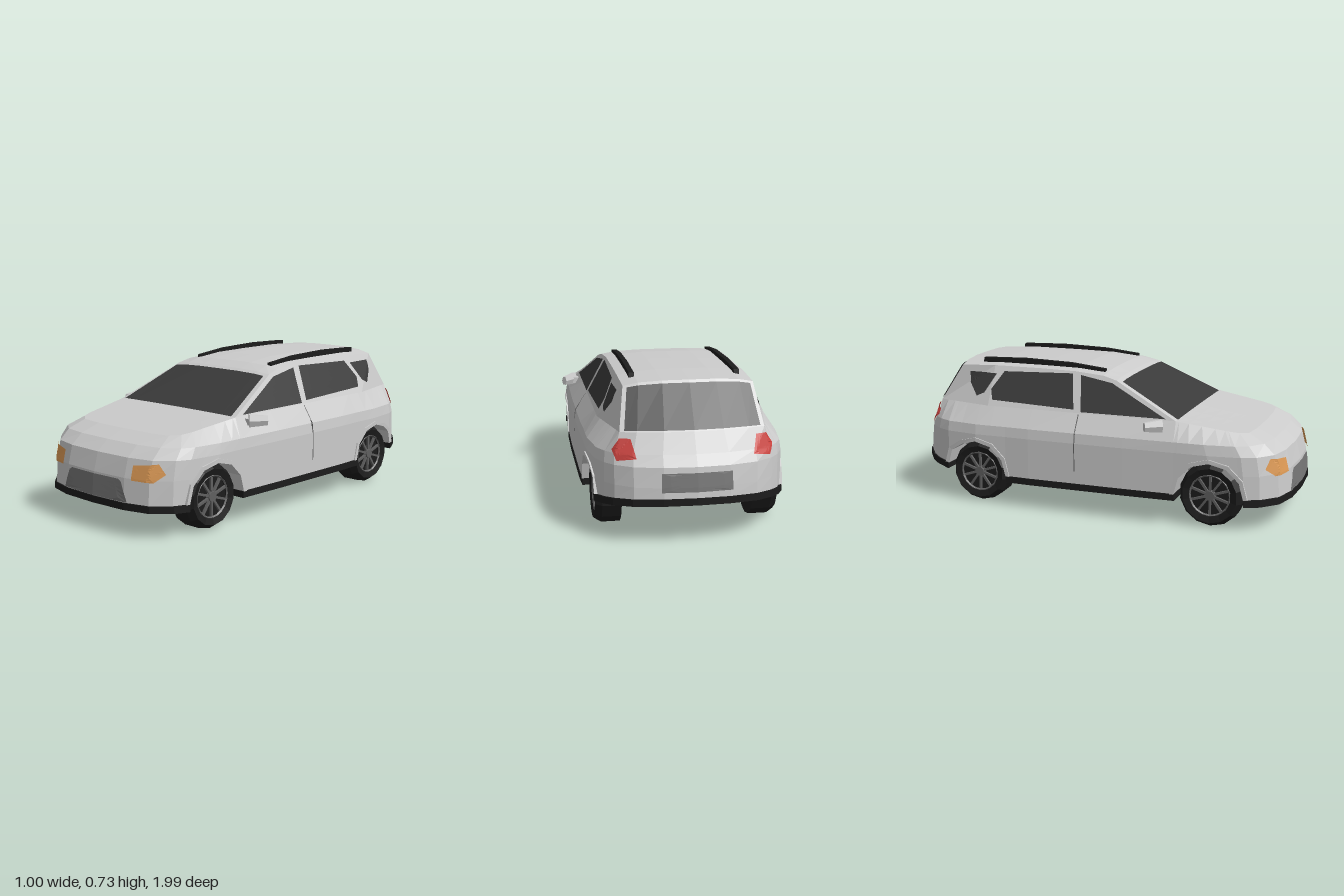
import * as THREE from 'three';
import { mergeGeometries } from 'three/addons/utils/BufferGeometryUtils.js';

const V = (x, y, z) => new THREE.Vector3(x, y, z);
const mat = (color, side = THREE.FrontSide) => new THREE.MeshStandardMaterial({ color, side, flatShading: true });
const PAINT = mat(0xcccccc, THREE.DoubleSide), BLACK = mat(0x1c1c1c), GLASS = mat(0x3a3a3a, THREE.DoubleSide);
const GREY = mat(0x777777, THREE.DoubleSide), SEAM = mat(0x666666, THREE.DoubleSide), RIM = mat(0x606060);
const AMBER = mat(0xdd9a55, THREE.DoubleSide), RED = mat(0xcc4440, THREE.DoubleSide);
const WHEEL_Z = [0.63, -0.595], WHEEL_R = 0.156, ARCH_R = 0.168;
const ARCH = [1, 0.87, 0.5, 0, -0.5, -0.87, -1].map(s => s * ARCH_R);
const ACROSS = [1, 0.77, 0.41, 0, -0.41, -0.77, -1];

// Quads over rows of points; outside is (along row) x (next row)
function grid(rows) {
  const pos = [];
  for (let i = 0; i + 1 < rows.length; i++) {
    for (let j = 0; j + 1 < rows[i].length; j++) {
      const [a, b, c, d] = [rows[i][j], rows[i][j + 1], rows[i + 1][j + 1], rows[i + 1][j]];
      for (const p of [a, b, c, a, c, d]) pos.push(p.x, p.y, p.z);
    }
  }
  const g = new THREE.BufferGeometry();
  g.setAttribute('position', new THREE.Float32BufferAttribute(pos, 3));
  g.computeVertexNormals();
  return g;
}

// Width of the upper cabin at a given length and height; it narrows towards the tail
const cabinX = (z, y) => 0.4 - 0.5 * (y - 0.5) - Math.max(0, -z - 0.55) * 0.23 * (0.72 - y) / 0.22;
const rearRise = z => THREE.MathUtils.clamp((-z - 0.7) / 0.06, 0, 1) * 0.035 + Math.max(0, -z - 0.763) * 0.13;

// Cabin pillars: belt z, roof z, roof edge height, roof crown
const CABIN = [[0.45, 0.12, 0.66, 0.012], [0.2, 0.05, 0.678, 0.018], [-0.1, -0.1, 0.69, 0.022],
  [-0.3, -0.3, 0.693, 0.022], [-0.55, -0.55, 0.693, 0.022], [-0.85, -0.738, 0.684, 0.022]];
const LAST = CABIN.length - 1;
const roofPoint = (i, f) => {
  const [, z, y, crown] = CABIN[i];
  return V(cabinX(z, y) * f, y + crown * (1 - f ** 4), z - (i === LAST ? 0.017 * (1 - f * f) : 0));
};
const cowlPoint = f => V(0.4 * f, 0.5 + 0.003 * (1 - f * f), 0.45);
const tailPoint = f => V(cabinX(-0.85, 0.5) * f, 0.5, -0.85 - 0.045 * (1 - f * f));

// Columns around the left half: x, z at the sill and x, z at the belt line
function bodyColumns() {
  const cols = [[0, 0.99, 0, 0.8], [0.2, 0.98, 0.18, 0.797], [0.33, 0.945, 0.3, 0.785], [0.41, 0.87, 0.345, 0.75]];
  for (const d of ARCH) {
    const zt = 0.45 + (d + ARCH_R) / (2 * ARCH_R) * 0.25;
    cols.push([0.46 - Math.max(0, d) * 0.12, WHEEL_Z[0] + d, 0.4 - (zt - 0.45) * 0.15, zt]);
  }
  for (const z of [0.2, -0.1, -0.3]) cols.push([0.465, z, 0.4, z]);
  for (const d of ARCH) {
    const z = WHEEL_Z[1] + d;
    cols.push([0.46 - Math.max(0, -d) * 0.15, z, cabinX(z, 0.5), z]);
  }
  cols.push([0.4, -0.84, cabinX(-0.81, 0.5), -0.81]);
  [[0.36, -0.89], [0.28, -0.95], [0.15, -0.985], [0, -0.995]].forEach(([x, z], i) => {
    const top = tailPoint(ACROSS[i]);
    cols.push([x, z, top.x, top.z]);
  });
  return cols;
}

function sillY(z) {
  const d = Math.min(...WHEEL_Z.map(w => Math.abs(z - w)));
  return 0.155 + Math.sqrt(Math.max(0, ARCH_R ** 2 - d * d)) + rearRise(z);
}

// Levels: height, then how far x and z have moved to the belt line
const LEVELS = [[0.155, 0, 0], [0.27, 0, 0.05], [0.36, 0, 0.18], [0.41, 0.1, 0.5], [0.5, 1, 1]];
function bodyPoint([xl, zl, xt, zt], k) {
  const [h, bx, bz] = LEVELS[k], s = sillY(zl);
  const y = k === 0 ? s : k === 1 ? Math.max(h, s + 0.012) : k === 4 ? h - Math.max(0, zt - 0.45) * 0.15 : h;
  return V(xl + (xt - xl) * bx, y, zl + (zt - zl) * bz);
}

export function createModel() {
  const car = new THREE.Group();
  const add = (name, geo, material, parent = car) => {
    const m = new THREE.Mesh(geo, material);
    m.name = name;
    parent.add(m);
    return m;
  };
  const cols = bodyColumns();
  const flip = p => V(-p.x, p.y, p.z);

  // Body shell: wrapped sides, hood, cabin sides, roof and end panels
  const sides = LEVELS.map((_, k) => {
    const half = cols.map(c => bodyPoint(c, k));
    return [...half, ...half.slice(0, -1).reverse().map(flip)];
  });
  const hood = ACROSS.map(f => cols.slice(0, 11).map(c => {
    const p = bodyPoint(c, 4);
    return V(p.x * f, p.y + 0.003 * (1 - f * f) * THREE.MathUtils.clamp((0.75 - p.z) / 0.3, 0, 1), p.z);
  }));
  const belt = CABIN.map(([z]) => V(cabinX(z, 0.5), 0.5, z));
  const edge = CABIN.map((_, i) => roofPoint(i, 1));
  const roof = ACROSS.map(f => CABIN.map((_, i) => roofPoint(i, f)));
  const back = [...ACROSS].reverse();
  const shell = add('bodyShell', mergeGeometries([
    grid(sides), grid(hood), grid(roof), grid([belt, edge]),
    grid([belt.map(flip).reverse(), edge.map(flip).reverse()]),
    grid([back.map(cowlPoint), back.map(f => roofPoint(0, f))]),
    grid([ACROSS.map(tailPoint), ACROSS.map(f => roofPoint(LAST, f))]),
  ]), PAINT);
  shell.updateMatrixWorld(true);

  // Wheel wells, lower between the wheels, and the lips around their openings
  for (const [name, first, zc] of [['front', 4, WHEEL_Z[0]], ['rear', 14, WHEEL_Z[1]]]) {
    const outer = cols.slice(first, first + 7).map(c => bodyPoint(c, 0));
    const left = [
      outer.map(p => V(0.27, 0.155 + (p.y - 0.155) * 0.75, p.z)),
      outer.map(p => V(0.3, p.y, p.z)),
      outer,
    ];
    add(name + 'WheelWell', grid([...left.map(r => r.map(flip)).reverse(), ...left]), PAINT);
    const lip = [[-0.015, 1], [0.006, 1], [0.006, 1.12], [-0.015, 1.12]].map(([dx, s]) =>
      outer.map(p => V(p.x + dx, 0.155 + (p.y - 0.155) * s, zc + (p.z - zc) * s)));
    add(name + 'LeftArchLip', grid(lip), PAINT);
    add(name + 'RightArchLip', grid(lip.map(r => r.map(flip).reverse())), PAINT);
  }

  // Black lower trim with the floor
  for (const [name, a, b, wide] of [['frontBumperTrim', 0, 5, 1.03], ['sillAndFloor', 10, 15, 1.008], ['rearBumperTrim', 20, cols.length, 1.02]]) {
    const left = cols.slice(a, b).map(c => new THREE.Vector2(c[0] * wide, c[1] * 1.005));
    const right = [...left].reverse().map(p => new THREE.Vector2(-p.x, p.y)).filter(p => p.x < 0);
    const g = new THREE.ExtrudeGeometry(new THREE.Shape([...left, ...right]), { depth: 0.033, bevelEnabled: false });
    g.rotateX(Math.PI / 2).translate(0, 0.157, 0);
    const p = g.attributes.position;
    for (let i = 0; i < p.count; i++) p.setY(i, p.getY(i) + rearRise(p.getZ(i)));
    g.computeVertexNormals();
    add(name, g, BLACK);
  }

  // Panels laid onto the shell: an outline is projected along one axis
  const ray = new THREE.Raycaster();
  function panel(name, outline, from, material, lift) {
    const edgePts = outline.flatMap((p, i) => {
      const q = outline[(i + 1) % outline.length];
      return [0, 0.25, 0.5, 0.75].map(t => [p[0] + (q[0] - p[0]) * t, p[1] + (q[1] - p[1]) * t]);
    });
    edgePts.push(edgePts[0]);
    const mid = [0, 1].map(k => outline.reduce((s, p) => s + p[k], 0) / outline.length);
    const project = (u, v) => {
      const o = from.x ? V(2 * from.x, v + 1e-4, u + 1e-4) : V(u + 1e-4, v + 1e-4, 2 * from.z);
      ray.set(o, from.clone().negate());
      const hit = ray.intersectObject(shell)[0];
      return hit ? hit.point.addScaledVector(from, lift) : null;
    };
    const centre = project(...mid);
    const rows = [1, 0.75, 0.5, 0.25, 0].map(s => edgePts.map(p =>
      project(mid[0] + (p[0] - mid[0]) * s, mid[1] + (p[1] - mid[1]) * s) || centre));
    add(name, grid(rows), material);
  }
  const FRONT = V(0, 0, 1), BACK = V(0, 0, -1);
  panel('frontIntake', [[-0.222, 0.16], [0.222, 0.16], [0.185, 0.25], [0.165, 0.262], [-0.165, 0.262], [-0.185, 0.25]], FRONT, GREY, 0.005);
  panel('rearPlateRecess', [[-0.16, 0.25], [0.16, 0.25], [0.16, 0.335], [-0.16, 0.335]], BACK, GREY, 0.005);
  for (const [side, s] of [['left', 1], ['right', -1]]) {
    const OUT = V(s, 0, 0), m = pts => pts.map(([x, y]) => [x * s, y]);
    panel(side + 'Headlight', m([[0.243, 0.265], [0.35, 0.263], [0.388, 0.3], [0.36, 0.346], [0.243, 0.332]]), FRONT, AMBER, 0.01);
    panel(side + 'TailLight', m([[0.265, 0.395], [0.35, 0.38], [0.368, 0.425], [0.335, 0.475], [0.285, 0.475]]), BACK, RED, 0.01);
    panel(side + 'FrontWindow', [[0.4, 0.506], [0.1, 0.648], [-0.07, 0.675], [-0.04, 0.506]], OUT, GLASS, 0.004);
    panel(side + 'RearDoorWindow', [[-0.08, 0.515], [-0.115, 0.68], [-0.49, 0.668], [-0.547, 0.58], [-0.53, 0.53]], OUT, GLASS, 0.004);
    panel(side + 'QuarterWindow', [[-0.53, 0.655], [-0.69, 0.655], [-0.685, 0.6], [-0.63, 0.54], [-0.585, 0.56]], OUT, GLASS, 0.005);
    panel(side + 'DoorSeam', [[-0.047, 0.22], [-0.047, 0.495], [-0.052, 0.495], [-0.052, 0.22]], OUT, SEAM, 0.004);
  }

  // Windshield and rear glass, inset in their end panels
  const endGlass = (low, high, t0, t1, fs, off) => grid([t0, t1].map(t => fs.map(f => {
    const inset = THREE.MathUtils.clamp(f, -0.94, 0.94);
    return low(inset).lerp(high(inset), t).add(off);
  })));
  add('windshield', endGlass(cowlPoint, f => roofPoint(0, f), 0, 0.93, back, V(0, 0.003, 0.004)), GLASS);
  add('rearWindow', endGlass(tailPoint, f => roofPoint(LAST, f), 0.03, 0.94, ACROSS, V(0, 0.002, -0.007)), GLASS);

  // Roof rails
  const railShape = new THREE.Shape([[-0.04, 0.675], [0.64, 0.69], [0.635, 0.722], [0.4, 0.729], [0.15, 0.722], [-0.035, 0.702]]
    .map(p => new THREE.Vector2(...p)));
  const railGeo = new THREE.ExtrudeGeometry(railShape, { depth: 0.024, bevelEnabled: false }).rotateY(Math.PI / 2);
  for (const [name, x] of [['leftRoofRail', 0.235], ['rightRoofRail', -0.259]]) add(name, railGeo, BLACK).position.x = x;

  // Door mirrors
  for (const [side, s] of [['left', 1], ['right', -1]]) {
    const g = new THREE.Group();
    g.name = side + 'Mirror';
    const head = add('mirrorHead', new THREE.CylinderGeometry(0.025, 0.035, 0.09, 6).scale(1, 1, 0.6), PAINT, g);
    head.geometry.rotateZ(-Math.PI / 2);
    head.position.set(0.46 * s, 0.48, 0.355);
    head.rotation.y = s > 0 ? 0.85 : Math.PI - 0.85;
    const arm = add('mirrorArm', new THREE.BoxGeometry(0.05, 0.03, 0.035), PAINT, g);
    arm.position.set(0.415 * s, 0.473, 0.375);
    car.add(g);
  }

  // Wheels with spoked rims
  const tyreProfile = [[0, 0.31], [WHEEL_R, 0.31], [WHEEL_R, 0.4], [0.135, 0.433], [0.104, 0.425], [0.1, 0.408], [0, 0.408]]
    .map(p => new THREE.Vector2(...p));
  const tyreGeo = new THREE.LatheGeometry(tyreProfile, 14).rotateZ(-Math.PI / 2);
  const spokes = [];
  for (let i = 0; i < 10; i++) {
    spokes.push(new THREE.BoxGeometry(0.012, 0.085, 0.011).translate(0.414, 0.058, 0).rotateX(i * Math.PI / 5));
  }
  const spokeGeo = mergeGeometries(spokes);
  for (const [end, z] of [['front', WHEEL_Z[0]], ['rear', WHEEL_Z[1]]]) {
    for (const [side, turn] of [['Left', 0], ['Right', Math.PI]]) {
      const w = new THREE.Group();
      w.name = end + side + 'Wheel';
      w.position.set(0, WHEEL_R, z);
      w.rotation.y = turn;
      add('tyre', tyreGeo, BLACK, w).rotation.x = Math.PI / 2;
      add('spokes', spokeGeo, RIM, w);
      add('rimRing', new THREE.TorusGeometry(0.1, 0.006, 4, 20).rotateY(Math.PI / 2).translate(0.42, 0, 0), RIM, w);
      add('hub', new THREE.CylinderGeometry(0.024, 0.028, 0.02, 10).rotateZ(-Math.PI / 2).translate(0.416, 0, 0), RIM, w);
      car.add(w);
    }
  }
  return car;
}
